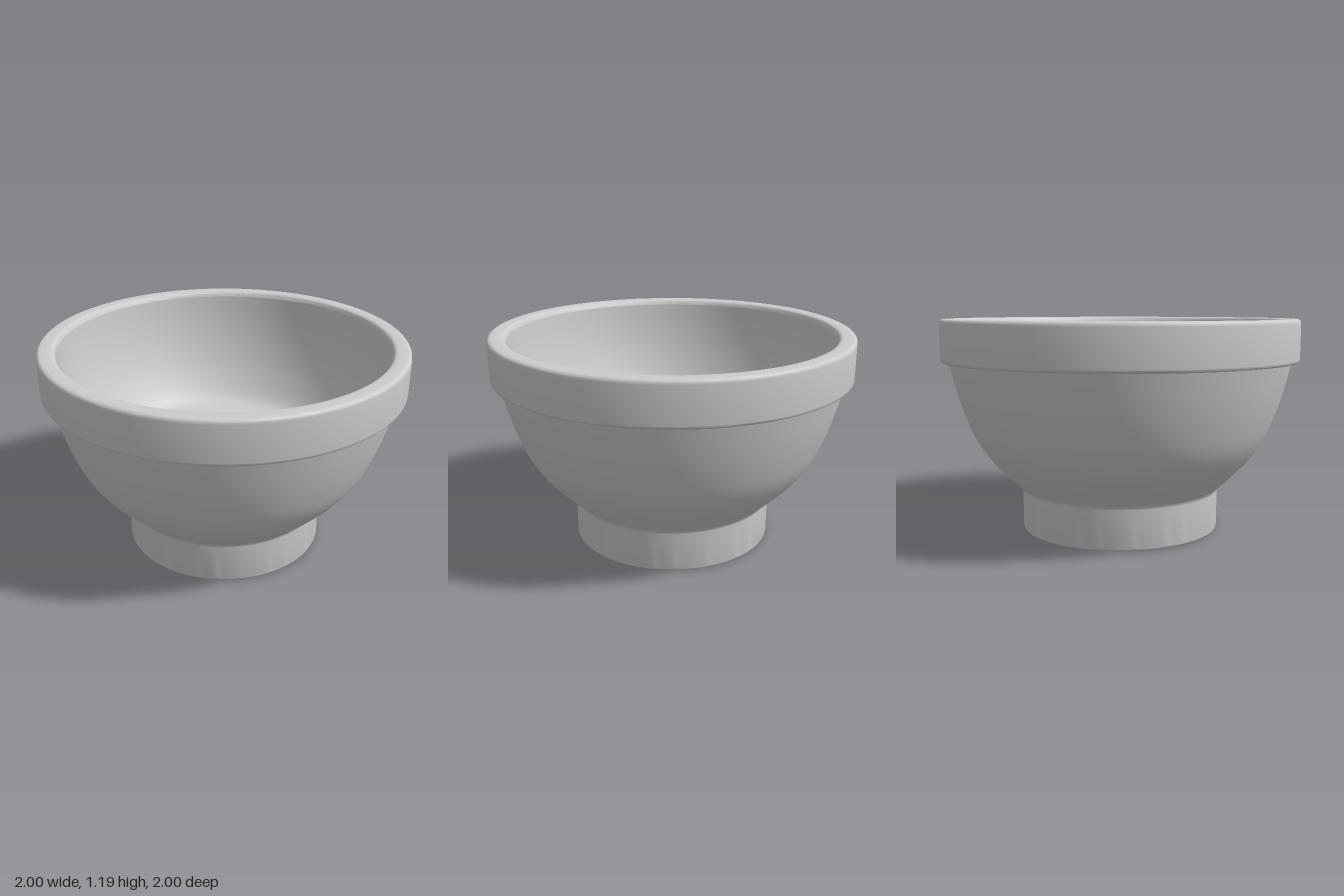
import * as THREE from 'three';
import { toCreasedNormals } from 'three/addons/utils/BufferGeometryUtils.js';

const SEGMENTS = 96;
const material = new THREE.MeshStandardMaterial({ color: 0xcccccc });

const vec = ([r, y]) => new THREE.Vector2(r, y);

// Smooth run of profile points through a few guides
const smooth = (guides, n) => new THREE.SplineCurve(guides.map(vec)).getPoints(n);

// Rounded corner from one point to another around a control point
const round = (a, corner, b) =>
  new THREE.QuadraticBezierCurve(vec(a), vec(corner), vec(b)).getPoints(5);

function turned(name, profile) {
  const geometry = toCreasedNormals(new THREE.LatheGeometry(profile, SEGMENTS), 0.6);
  const mesh = new THREE.Mesh(geometry, material);
  mesh.name = name;
  return mesh;
}

export function createModel() {
  const bowl = new THREE.Group();
  bowl.name = 'bowl';

  // Solid foot with a softened lower edge
  bowl.add(turned('foot', [
    vec([0, 0]),
    ...round([0.54, 0], [0.56, 0], [0.56, 0.02]),
    ...round([0.56, 0.22], [0.56, 0.233], [0.572, 0.246]),
  ]));

  // Flaring outer wall
  bowl.add(turned('outerWall', smooth([
    [0.572, 0.246], [0.66, 0.33], [0.75, 0.428], [0.82, 0.535],
    [0.876, 0.67], [0.92, 0.81], [0.957, 0.96],
  ], 32)));

  // Thick rim band with rounded edges
  bowl.add(turned('rim', [
    vec([0.955, 0.957]),
    ...round([0.98, 0.957], [1, 0.957], [1, 0.977]),
    ...round([1, 1.165], [1, 1.19], [0.975, 1.19]),
    ...round([0.93, 1.19], [0.905, 1.19], [0.9, 1.16]),
  ]));

  // Hollow with a flat floor
  bowl.add(turned('interior', [
    ...smooth([
      [0.9, 1.16], [0.885, 1.02], [0.855, 0.87], [0.805, 0.72],
      [0.74, 0.595], [0.68, 0.525], [0.61, 0.5],
    ], 32),
    vec([0, 0.5]),
  ]));

  return bowl;
}
